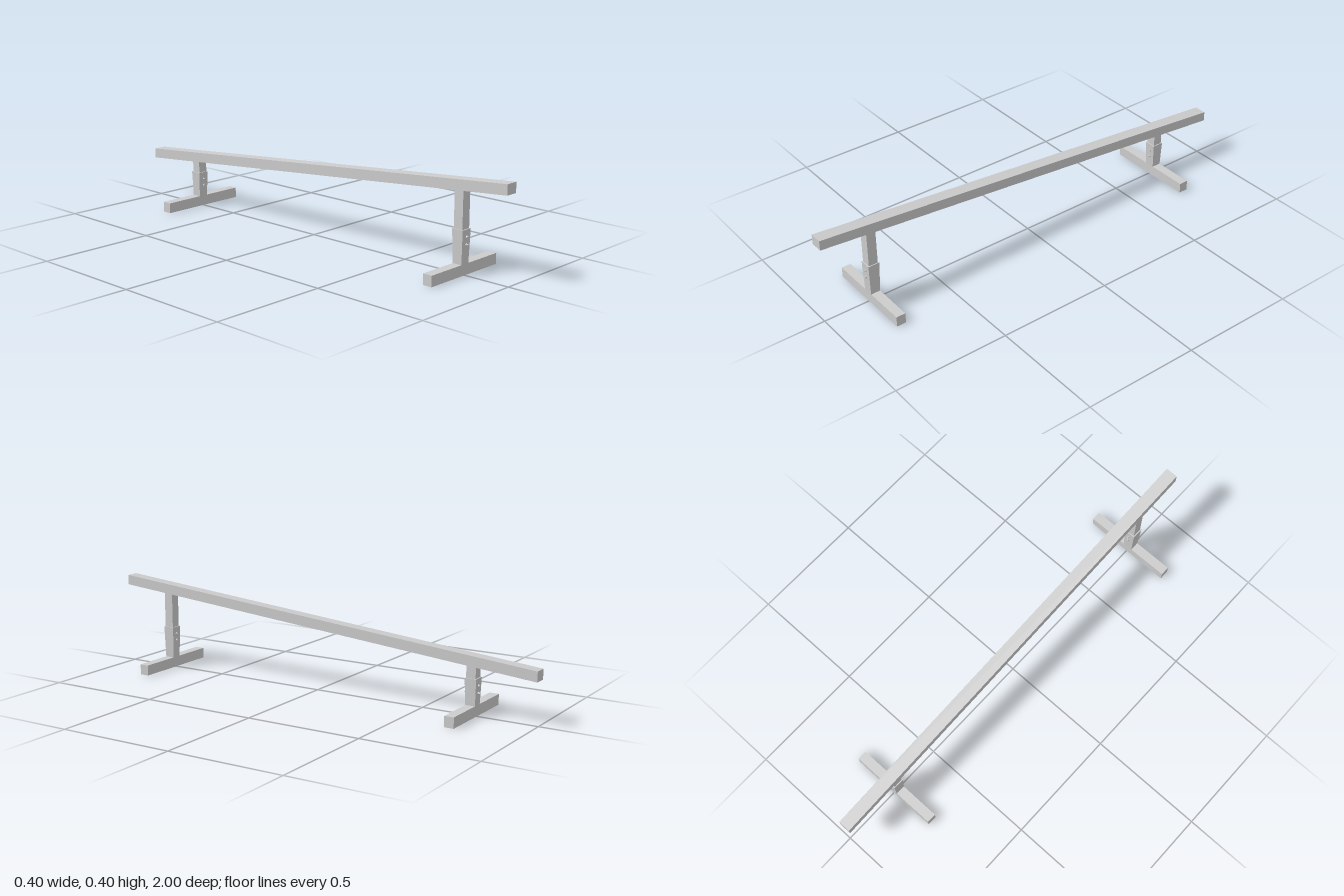
import * as THREE from 'three';

const material = new THREE.MeshStandardMaterial({ color: 0xcccccc, flatShading: true });

function part(name, geometry, x, y, z) {
  const mesh = new THREE.Mesh(geometry, material);
  mesh.name = name;
  mesh.position.set(x, y, z);
  return mesh;
}

// Box whose underside is narrower than its top
function taperedBox(topX, topZ, height, bottomX, bottomZ) {
  const geometry = new THREE.BoxGeometry(topX, height, topZ);
  const p = geometry.attributes.position;
  for (let i = 0; i < p.count; i++) {
    if (p.getY(i) < 0) {
      p.setX(i, Math.sign(p.getX(i)) * bottomX / 2);
      p.setZ(i, Math.sign(p.getZ(i)) * bottomZ / 2);
    }
  }
  geometry.computeVertexNormals();
  return geometry;
}

// T-shaped support: foot bar, tapered sleeve, post and two through bolts
function support(name, z, sleeveTop, postTop, boltHeights) {
  const group = new THREE.Group();
  group.name = name;
  group.position.z = z;
  const footHeight = 0.045;
  const sleeveHeight = sleeveTop - footHeight;
  group.add(part('foot', new THREE.BoxGeometry(0.4, footHeight, 0.041), 0, footHeight / 2, 0));
  group.add(part('sleeve', taperedBox(0.05, 0.05, sleeveHeight, 0.043, 0.042),
    -0.001, footHeight + sleeveHeight / 2, 0));
  group.add(part('post', new THREE.BoxGeometry(0.042, postTop - footHeight, 0.041),
    -0.001, (postTop + footHeight) / 2, 0));
  for (const y of boltHeights) {
    const shaft = new THREE.CylinderGeometry(0.003, 0.003, 0.066, 10).rotateX(Math.PI / 2);
    group.add(part('boltShaft', shaft, 0.001, y, 0));
    for (const side of [-1, 1]) {
      const head = new THREE.CylinderGeometry(0.0055, 0.0055, 0.005, 10).rotateX(Math.PI / 2);
      group.add(part('boltHead', head, 0.001, y, side * 0.027));
    }
  }
  return group;
}

export function createModel() {
  const model = new THREE.Group();
  model.name = 'slopedRail';

  // Sloping rail, sheared so that it drops towards the back
  const rail = new THREE.BoxGeometry(0.054, 0.043, 2);
  const p = rail.attributes.position;
  for (let i = 0; i < p.count; i++) p.setY(i, p.getY(i) + p.getZ(i) * 0.088);
  rail.computeVertexNormals();
  model.add(part('rail', rail, -0.001, 0.289, 0));

  model.add(support('frontSupport', 0.776, 0.183, 0.345, [0.153, 0.123]));
  model.add(support('backSupport', -0.72, 0.155, 0.214, [0.125, 0.095]));
  return model;
}
